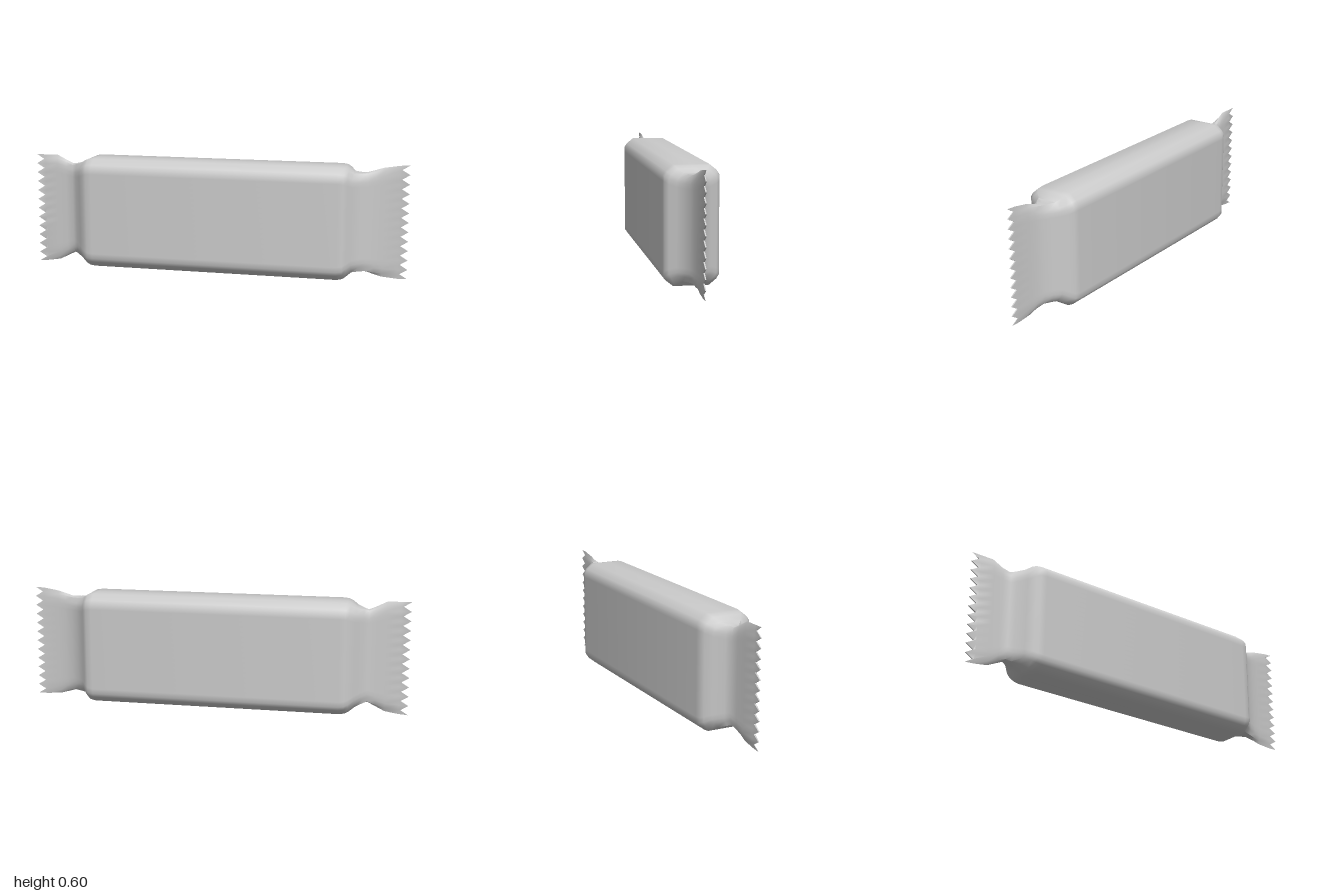
import * as THREE from 'three';
import { toCreasedNormals } from 'three/addons/utils/BufferGeometryUtils.js';

const TEETH = 12, N = TEETH * 2; // N steps up each side of a section

// Stations along the wrapper: x, bottom y, top y, half thickness, crimp (0 box, 1 flat), tooth depth
const STATIONS = [
  [-1.0, 0.0, 0.59, 0.003, 1, 0.04],
  [-0.95, 0.004, 0.59, 0.007, 1, 0],
  [-0.88, 0.015, 0.59, 0.015, 0.8, 0],
  [-0.83, 0.04, 0.565, 0.019, 0.5, 0],
  [-0.79, 0.06, 0.547, 0.027, 0.3, 0],
  [-0.765, 0.055, 0.55, 0.045, 0.1, 0],
  [-0.73, 0.043, 0.558, 0.088, 0, 0],
  [-0.7, 0.022, 0.577, 0.12, 0, 0],
  [-0.68, 0.013, 0.585, 0.131, 0, 0],
  [-0.65, 0.009, 0.588, 0.135, 0, 0],
  [0.65, 0.009, 0.588, 0.135, 0, 0],
  [0.68, 0.015, 0.584, 0.13, 0, 0],
  [0.7, 0.03, 0.572, 0.113, 0, 0],
  [0.72, 0.045, 0.556, 0.08, 0, 0],
  [0.755, 0.045, 0.556, 0.052, 0.1, 0],
  [0.79, 0.042, 0.56, 0.03, 0.3, 0],
  [0.83, 0.03, 0.572, 0.019, 0.5, 0],
  [0.87, 0.019, 0.584, 0.011, 0.8, 0],
  [0.95, 0.012, 0.597, 0.004, 1, 0],
  [1.0, 0.013, 0.6, 0.003, 1, -0.04],
];

// Chamfered corner of the box section: height (-1..1) and thickness (0..1)
const CORNER = [[-1, 0], [-1, 0.63], [-0.9, 0.9], [-0.83, 1]];

function sectionPoint(j, crimp) {
  const flat = -1 + (2 * j) / N;
  let v, w;
  if (j < 4) [v, w] = CORNER[j];
  else if (j > N - 4) { [v, w] = CORNER[N - j]; v = -v; }
  else { v = -0.83 + (1.66 * (j - 3)) / (N - 6); w = 1; }
  return [THREE.MathUtils.lerp(v, flat, crimp), w];
}

function wrapperGeometry() {
  const pos = [], index = [], ring = 2 * N;
  for (const [x, y0, y1, depth, crimp, tooth] of STATIONS) {
    for (let k = 0; k < ring; k++) {
      const j = k <= N ? k : ring - k; // up the front, down the back
      const [v, w] = sectionPoint(j, crimp);
      pos.push(x + (j % 2 ? tooth : 0), (y0 + y1) / 2 + (v * (y1 - y0)) / 2, (k <= N ? 1 : -1) * w * depth);
    }
  }
  for (let i = 0; i < STATIONS.length - 1; i++) {
    for (let k = 0; k < ring; k++) {
      const a = i * ring + k, b = i * ring + ((k + 1) % ring);
      index.push(a, a + ring, b + ring, a, b + ring, b);
    }
  }
  // Close the thin serrated edges
  const last = (STATIONS.length - 1) * ring;
  for (let j = 0; j < N; j++) {
    const f0 = j, f1 = j + 1, b0 = (ring - j) % ring, b1 = ring - j - 1;
    index.push(f0, b1, b0, f0, f1, b1);
    index.push(last + f0, last + b0, last + b1, last + f0, last + b1, last + f1);
  }
  const geo = new THREE.BufferGeometry();
  geo.setAttribute('position', new THREE.Float32BufferAttribute(pos, 3));
  geo.setIndex(index);
  return toCreasedNormals(geo, 0.9);
}

export function createModel() {
  const group = new THREE.Group();
  group.name = 'wrappedBar';
  const material = new THREE.MeshStandardMaterial({ color: 0xcccccc, side: THREE.DoubleSide });
  const wrapper = new THREE.Mesh(wrapperGeometry(), material);
  wrapper.name = 'wrapper';
  group.add(wrapper);
  return group;
}
